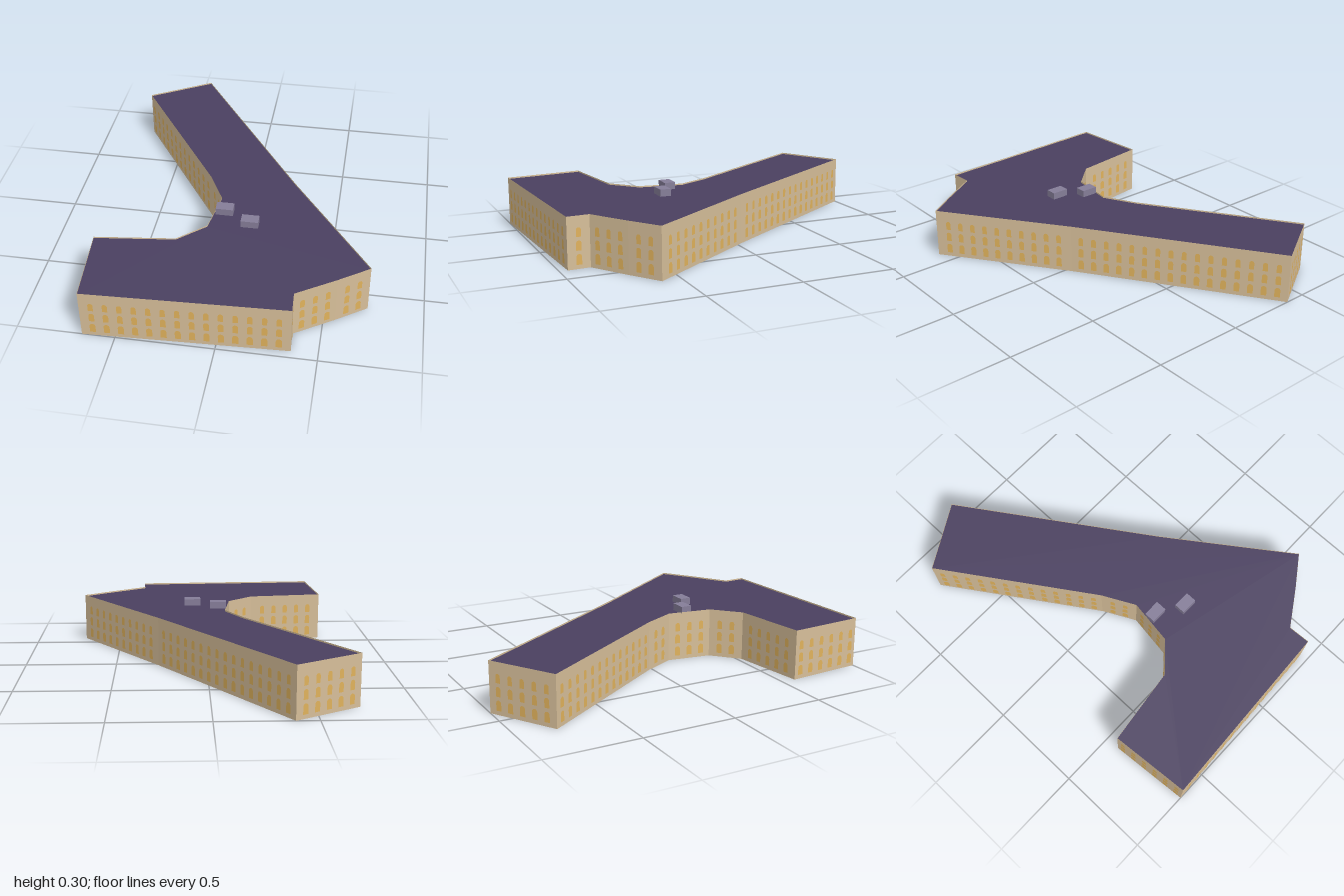
import * as THREE from 'three';
import { mergeGeometries } from 'three/addons/utils/BufferGeometryUtils.js';

const HEIGHT = 0.27, ROOF_Y = 0.262, SPACING = 0.0705;

// Footprint corners as [x, z], clockwise seen from above
const OUTLINE = [
  [-0.385, -1], [0.265, -0.03], [0.716, 0.6], [0.558, 0.71], [0.36, 0.838],
  [0.366, 0.957], [-0.667, 1], [-0.702, 0.577], [-0.285, 0.525],
  [-0.145, 0.397], [-0.11, 0.155], [-0.2, -0.02], [-0.72, -0.8],
];

// Window rows: sill height, width, height
const ROWS = [[0.022, 0.03, 0.054], [0.094, 0.028, 0.051], [0.163, 0.026, 0.048]];

function material(name, color, side = THREE.FrontSide) {
  const m = new THREE.MeshStandardMaterial({ color, side });
  m.name = name;
  return m;
}

// Flat arched window, standing on its sill
function archedWindow(w, h) {
  const r = w / 2, s = new THREE.Shape();
  s.moveTo(-r, 0);
  s.lineTo(r, 0);
  s.lineTo(r, h - r);
  s.absarc(0, h - r, r, 0, Math.PI, false);
  s.closePath();
  return new THREE.ShapeGeometry(s, 4);
}

export function createModel() {
  const group = new THREE.Group();
  const wallMat = material('sandstone', 0xd6be99, THREE.DoubleSide);
  const windowMat = material('amber glass', 0xe0b25c);
  const roofMat = material('dark purple roof', 0x4a4060, THREE.DoubleSide);
  const unitMat = material('grey purple metal', 0x857d98);

  const add = (name, geometry, mat) => {
    const mesh = new THREE.Mesh(geometry, mat);
    mesh.name = name;
    group.add(mesh);
    return mesh;
  };

  // Walls, each with its three rows of windows
  OUTLINE.forEach(([x0, z0], i) => {
    const [x1, z1] = OUTLINE[(i + 1) % OUTLINE.length];
    const dx = x1 - x0, dz = z1 - z0, length = Math.hypot(dx, dz);
    const place = (mesh) => {
      mesh.position.set((x0 + x1) / 2, 0, (z0 + z1) / 2);
      mesh.rotation.y = Math.atan2(dz, -dx); // local +z points outward
    };
    place(add(`wall${i + 1}`,
      new THREE.PlaneGeometry(length, HEIGHT).translate(0, HEIGHT / 2, 0), wallMat));

    const count = Math.max(1, Math.floor(length / SPACING));
    const panes = [];
    for (const [sill, w, h] of ROWS) {
      for (let k = 0; k < count; k++) {
        panes.push(archedWindow(w, h).translate((k - (count - 1) / 2) * SPACING, sill, 0.002));
      }
    }
    place(add(`windows${i + 1}`, mergeGeometries(panes), windowMat));
  });

  // Flat roof just below the wall tops
  const roofShape = new THREE.Shape(OUTLINE.map(([x, z]) => new THREE.Vector2(x, -z)));
  add('roof', new THREE.ShapeGeometry(roofShape).rotateX(-Math.PI / 2), roofMat).position.y = ROOF_Y;

  // Rooftop units
  for (const [x, z] of [[-0.075, 0.26], [0.071, 0.343]]) {
    add('rooftopUnit', new THREE.BoxGeometry(0.092, 0.038, 0.06), unitMat).position.set(x, 0.281, z);
  }
  return group;
}
